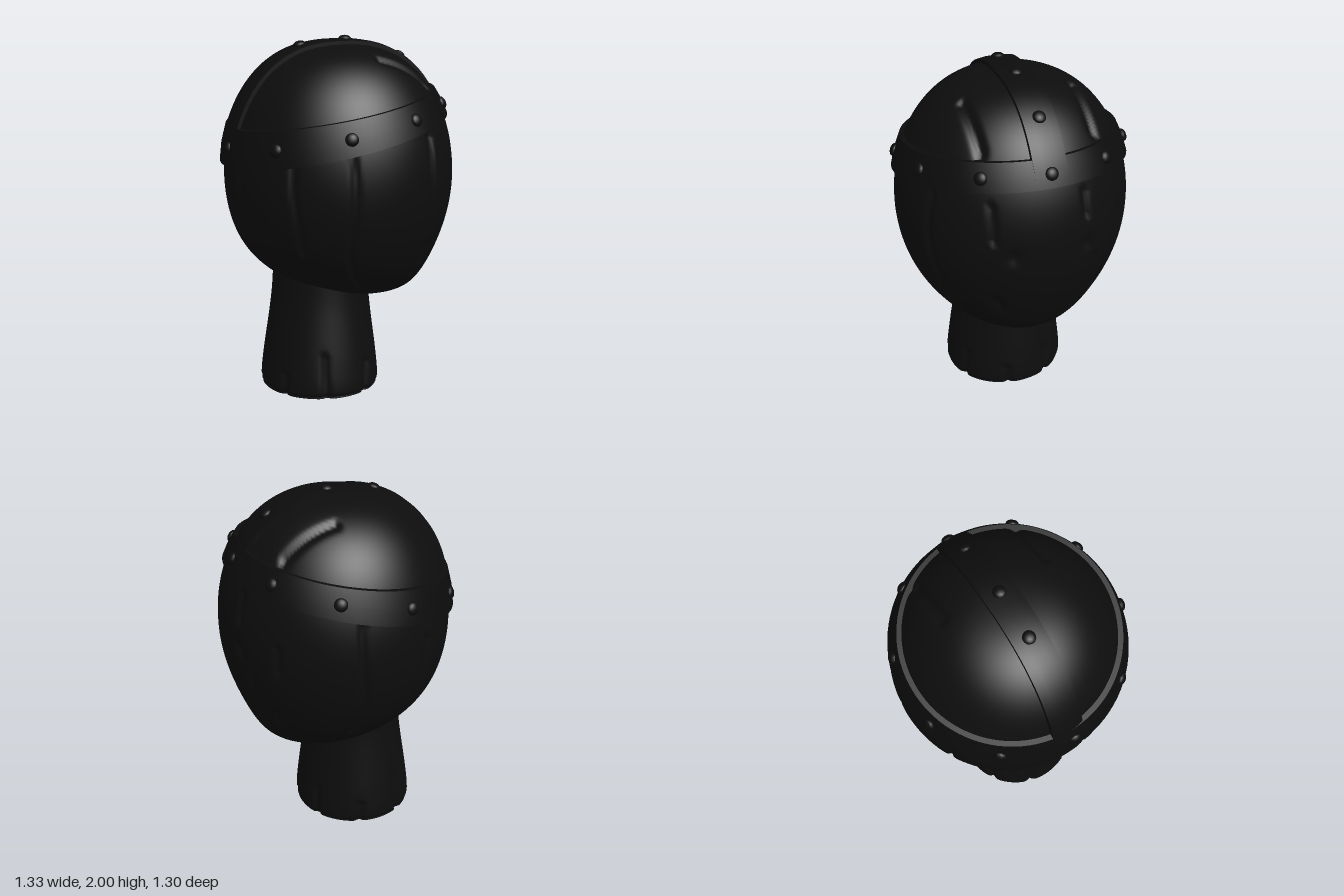
import * as THREE from 'three';
import { toCreasedNormals } from 'three/addons/utils/BufferGeometryUtils.js';

const TAU = Math.PI * 2;

// Closed-loop loft: nu points around, nv + 1 rows, fn(u, v) gives the point
function loft(nu, nv, fn) {
  const pos = [], idx = [];
  for (let j = 0; j <= nv; j++)
    for (let i = 0; i < nu; i++) pos.push(...fn(i / nu, j / nv).toArray());
  for (let j = 0; j < nv; j++)
    for (let i = 0; i < nu; i++) {
      const k = (i + 1) % nu, a = j * nu + i, b = a + nu, c = j * nu + nu + k, d = c - nu;
      idx.push(a, b, c, a, c, d);
    }
  const g = new THREE.BufferGeometry();
  g.setAttribute('position', new THREE.Float32BufferAttribute(pos, 3));
  g.setIndex(idx);
  g.computeVertexNormals();
  return g;
}

// Head surface: round sections, slightly squarish, the chin pushed to +x.
// t is the latitude, a the angle around; t past the pole continues down the far side.
function headPoint(t, a, offset = 0) {
  const s = Math.sin(t), c = Math.cos(t);
  const r = 0.647 * Math.sign(c) * Math.abs(c) ** 0.8 + offset;
  const shift = 0.01 + 0.18 * Math.max(0, -s) ** 5;
  return new THREE.Vector3(shift + r * Math.cos(a), 1.242 + 0.714 * s, r * Math.sin(a));
}
const latitude = (y) => Math.asin((y - 1.242) / 0.714);

// Depth of upright cracks, each given as angle, low end, high end
function crackDepth(cracks, angle, y, radius, width) {
  let depth = 0;
  for (const [a, low, high] of cracks) {
    const turn = Math.atan2(Math.sin(angle - a), Math.cos(angle - a));
    const wobble = 0.012 * Math.sin(y * 9 + a * 5);
    const dist = Math.hypot(turn * radius + wobble, y - THREE.MathUtils.clamp(y, low, high));
    depth = Math.max(depth, 0.02 * Math.exp(-((dist / width) ** 2)));
  }
  return depth;
}

export function createModel() {
  const model = new THREE.Group();
  const wood = new THREE.MeshStandardMaterial({ color: 0x0d0d0d });
  wood.name = 'dark wood';
  const iron = new THREE.MeshStandardMaterial({ color: 0x0c0c0c });
  iron.name = 'dark iron';
  const add = (name, geometry, material) => {
    const mesh = new THREE.Mesh(geometry, material);
    mesh.name = name;
    model.add(mesh);
    return mesh;
  };

  // Carved wooden head with plank seams, worn dents and two gouges on the crown
  const seams = [
    [1.87, 0.68, 1.45], [1.08, 0.7, 1.5], [2.35, 0.9, 1.4], [0.52, 1.3, 1.5], [-0.32, 1.38, 1.52],
    [-0.4, 0.7, 1.1], [-0.71, 1.15, 1.3], [-2.06, 0.7, 1.28], [-1.45, 0.75, 1.45], [2.98, 0.75, 1.3],
  ];
  const dents = [[0.34, 1.2, 1.22], [-0.31, 1.2, 1.22], [0.48, 0.84, 0.88], [-0.65, 0.8, 0.84], [1.0, 0.79, 0.86]];
  const heart = new THREE.Vector3(0.01, 1.25, 0);
  add('head', loft(220, 110, (u, v) => {
    const a = u * TAU, p = headPoint((v - 0.5) * Math.PI, a);
    const gouge = Math.hypot(p.x - THREE.MathUtils.clamp(p.x, 0.12, 0.4), Math.abs(p.z) - 0.31) / 0.024;
    const crown = p.y > 1.6 ? 0.025 * Math.exp(-gouge * gouge) : 0;
    const depth = Math.max(crown, crackDepth(seams, a, p.y, 0.62, 0.016), crackDepth(dents, a, p.y, 0.62, 0.035));
    return p.addScaledVector(heart.clone().sub(p).normalize(), depth);
  }), wood);

  // Flared handle with a rounded, cracked foot
  const profile = [[0, 0], [0.3, 0], [0.337, 0.02], [0.343, 0.06], [0.328, 0.2], [0.285, 0.52], [0.27, 0.78]];
  const rows = new THREE.CubicInterpolant(profile.map((_, i) => i), profile.flat(), 2, new Float32Array(2));
  const splits = [];
  for (let i = 0; i < 8; i++) splits.push([0.3 + i * 0.78, -0.1, 0.12 + 0.06 * (i % 3)]);
  add('handle', loft(120, 72, (u, v) => {
    const [radius, height] = rows.evaluate(v * (profile.length - 1));
    const a = u * TAU, y = Math.max(height, 0);
    const r = radius - crackDepth(splits, a, y, radius, 0.018) * Math.min(1, radius / 0.3);
    return new THREE.Vector3(-0.112 + 0.012 * y + r * 0.985 * Math.cos(a), y, r * 1.02 * Math.sin(a));
  }), wood);

  // Tilted hoop around the head; k runs from lower to upper edge
  const hoopPoint = (a, k, offset) => {
    let p = headPoint(0.4, a);
    for (let i = 0; i < 8; i++) {
      const y = 1.455 + 0.172 * k + (0.215 - 0.04 * k) * p.x + 0.02 * p.z;
      p = headPoint(latitude(y), a, offset);
    }
    return p;
  };
  const hoopSection = [[0, -0.03], [0, 0.025], [0.5, 0.027], [1, 0.027], [1, -0.03]];
  add('hoop', toCreasedNormals(loft(96, 4, (u, v) => hoopPoint(u * TAU, ...hoopSection[Math.round(v * 4)])), 0.6), iron);

  // Strap over the crown, from the low side of the hoop to the high side
  const strapPoint = (s, z, offset) => {
    const t = THREE.MathUtils.lerp(0.34, Math.PI - 0.58, s);
    const p = headPoint(t, Math.PI);
    const along = headPoint(t + 0.03, Math.PI).sub(headPoint(t - 0.03, Math.PI)).normalize();
    return new THREE.Vector3(p.x - along.y * offset, p.y + along.x * offset, z - 0.03 * (1 - s));
  };
  const strapSection = [[0.09, -0.05], [0.09, 0.018], [0.04, 0.025], [-0.04, 0.025], [-0.09, 0.018], [-0.09, -0.05]];
  add('crownStrap', toCreasedNormals(loft(6, 48, (u, v) => strapPoint(v, ...strapSection[Math.round(u * 6)])), 0.6), iron);

  // Domed rivets on the hoop and strap
  const dome = new THREE.SphereGeometry(1, 14, 8);
  dome.scale(0.036, 0.021, 0.036);
  const up = new THREE.Vector3(0, 1, 0);
  const rivet = (name, at, normal) => {
    const mesh = add(name, dome, iron);
    mesh.position.copy(at);
    mesh.quaternion.setFromUnitVectors(up, normal.normalize());
  };
  for (let i = 0; i < 10; i++) {
    const a = i * TAU / 10, at = hoopPoint(a, 0.5, 0.027);
    const around = hoopPoint(a + 0.05, 0.5, 0.027).sub(at);
    rivet('hoopRivet', at, hoopPoint(a, 0.7, 0.027).sub(at).cross(around));
  }
  for (const x of [-0.22, 0.045, 0.39]) {
    let s = 0;
    while (strapPoint(s, 0, 0.024).x < x) s += 0.005;
    const at = strapPoint(s, 0, 0.024);
    rivet('strapRivet', at, strapPoint(s, 0, 0.1).sub(at));
  }
  return model;
}
